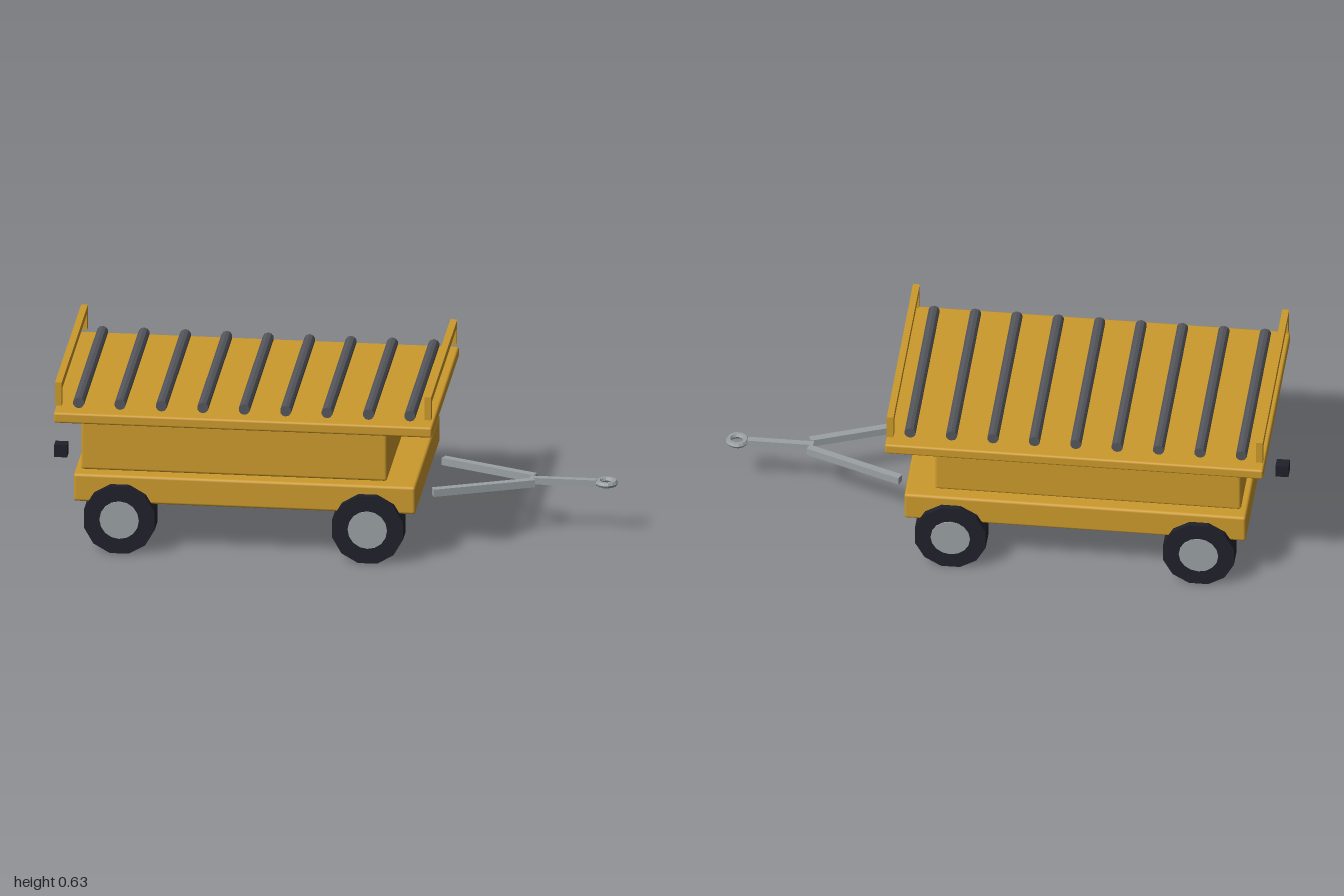
import * as THREE from 'three';
import { RoundedBoxGeometry } from 'three/addons/geometries/RoundedBoxGeometry.js';

const material = (name, color, flatShading = false) => {
  const m = new THREE.MeshStandardMaterial({ color, flatShading });
  m.name = name;
  return m;
};

export function createModel() {
  const model = new THREE.Group();
  model.name = 'cargoTrailer';
  const yellow = material('yellowPaint', 0xcc9a2c);
  const rubber = material('blackRubber', 0x20202b, true);
  const steel = material('lightSteel', 0x9aa1a4, true);
  const rollerGrey = material('rollerGrey', 0x54565c, true);

  const add = (name, geometry, mat, x, y, z, parent = model) => {
    const mesh = new THREE.Mesh(geometry, mat);
    mesh.name = name;
    mesh.position.set(x, y, z);
    parent.add(mesh);
    return mesh;
  };
  // Box given by its limits along x and y and its full depth, centred on z
  const slab = (name, x0, x1, y0, y1, depth, radius) =>
    add(name, new RoundedBoxGeometry(x1 - x0, y1 - y0, depth, 2, radius), yellow,
      (x0 + x1) / 2, (y0 + y1) / 2, 0);

  // Stacked body
  slab('chassis', -0.89, 0.323, 0.181, 0.284, 0.756, 0.01);
  slab('body', -0.868, 0.218, 0.286, 0.473, 0.67, 0.01);
  slab('deck', -0.956, 0.387, 0.487, 0.526, 0.838, 0.008);

  // Rollers across the deck
  const rollerGeometry = new THREE.CylinderGeometry(0.02, 0.02, 0.736, 10).rotateX(Math.PI / 2);
  for (let i = 0; i < 9; i++) {
    add('roller', rollerGeometry, rollerGrey, -0.873 + i * 0.147, 0.548, 0);
  }

  // End rails: one bar on two short posts
  for (const x of [-0.941, 0.37]) {
    const rail = new THREE.Group();
    rail.name = 'endRail';
    model.add(rail);
    add('railBar', new THREE.BoxGeometry(0.024, 0.027, 0.8), yellow, x, 0.62, 0, rail);
    for (const side of [-1, 1]) {
      add('railPost', new THREE.BoxGeometry(0.024, 0.059, 0.026), yellow, x, 0.577, side * 0.387, rail);
    }
  }

  // Wheels with hubs standing slightly proud on both faces
  const tyreGeometry = new THREE.CylinderGeometry(0.13, 0.13, 0.084, 12)
    .rotateY(Math.PI / 12).rotateX(Math.PI / 2);
  const hubGeometry = new THREE.CylinderGeometry(0.07, 0.07, 0.091, 16).rotateX(Math.PI / 2);
  for (const x of [-0.725, 0.156]) {
    for (const side of [-1, 1]) {
      const wheel = new THREE.Group();
      wheel.name = 'wheel';
      wheel.position.set(x, 0.126, side * 0.358);
      model.add(wheel);
      add('tyre', tyreGeometry, rubber, 0, 0, 0, wheel);
      add('hub', hubGeometry, steel, 0, 0, 0, wheel);
    }
  }

  // Tow bar: two converging arms, a straight bar and an eye
  const tow = new THREE.Group();
  tow.name = 'towBar';
  tow.position.y = 0.19;
  model.add(tow);
  const start = new THREE.Vector2(0.361, 0.163);
  const end = new THREE.Vector2(0.704, 0.024);
  const span = end.clone().sub(start);
  for (const side of [-1, 1]) {
    const arm = add('towArm', new THREE.BoxGeometry(span.length(), 0.027, 0.027), steel,
      (start.x + end.x) / 2, 0, side * (start.y + end.y) / 2, tow);
    arm.rotation.y = -side * Math.atan2(span.y, span.x);
  }
  add('towShaft', new THREE.BoxGeometry(0.235, 0.024, 0.024), steel, 0.805, 0, 0, tow);
  add('towEye', new THREE.TorusGeometry(0.03, 0.011, 6, 14).rotateX(Math.PI / 2), steel,
    0.959, 0.002, 0, tow);

  // Rear coupling block
  add('rearCoupling', new THREE.BoxGeometry(0.046, 0.046, 0.042), rubber, -0.977, 0.235, 0);

  return model;
}
